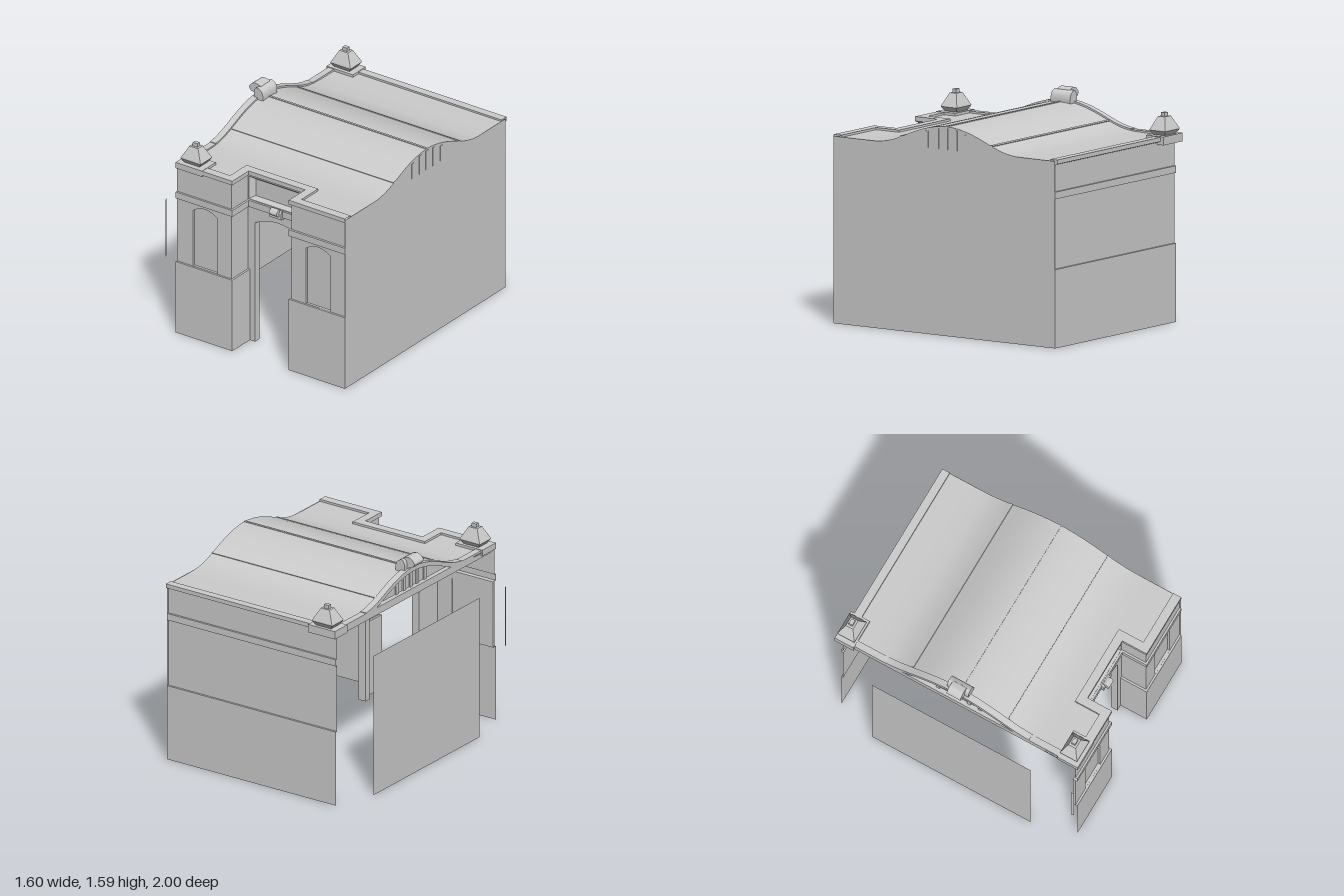
import * as THREE from 'three';

const mat = new THREE.MeshStandardMaterial({ color: 0xcccccc, side: THREE.DoubleSide });

function add(parent, name, geo, x = 0, y = 0, z = 0) {
  const m = new THREE.Mesh(geo, mat);
  m.name = name;
  m.position.set(x, y, z);
  parent.add(m);
  return m;
}

const box = (p, name, x0, x1, y0, y1, z0, z1) =>
  add(p, name, new THREE.BoxGeometry(x1 - x0, y1 - y0, z1 - z0), (x0 + x1) / 2, (y0 + y1) / 2, (z0 + z1) / 2);

// Flat-shaded grid through rows of points
function loft(rows, smooth = false) {
  const pos = [], idx = [], n = rows[0].length;
  rows.forEach(r => r.forEach(p => pos.push(...p)));
  for (let i = 0; i < rows.length - 1; i++)
    for (let j = 0; j < n - 1; j++) {
      const a = i * n + j, b = a + n;
      idx.push(a, b, b + 1, a, b + 1, a + 1);
    }
  let g = new THREE.BufferGeometry();
  g.setAttribute('position', new THREE.Float32BufferAttribute(pos, 3));
  g.setIndex(idx);
  if (!smooth) g = g.toNonIndexed();
  g.computeVertexNormals();
  return g;
}

// Sweep an [offset, y] wall profile along an [x, z] plan path with square corners
function sweep(path, profile) {
  const normal = (a, b) => {
    const l = Math.hypot(b[0] - a[0], b[1] - a[1]);
    return [-(b[1] - a[1]) / l, (b[0] - a[0]) / l];
  };
  return loft(path.map((p, i) => {
    const ns = [];
    if (i > 0) ns.push(normal(path[i - 1], p));
    if (i < path.length - 1) ns.push(normal(p, path[i + 1]));
    const nx = ns.reduce((s, n) => s + n[0], 0), nz = ns.reduce((s, n) => s + n[1], 0);
    return profile.map(([o, y]) => [p[0] + nx * o, y, p[1] + nz * o]);
  }));
}

// Opening with a shallow arched head
function arched(P, x0, x1, y0, spring, crown) {
  const s = new P();
  s.moveTo(x0, y0);
  s.lineTo(x1, y0);
  s.lineTo(x1, spring);
  s.quadraticCurveTo((x0 + x1) / 2, 2 * crown - spring, x0, spring);
  s.closePath();
  return s;
}

function rect(x0, x1, y0, y1) {
  return new THREE.Shape([[x0, y0], [x1, y0], [x1, y1], [x0, y1]].map(p => new THREE.Vector2(...p)));
}

const extrude = (shape, depth) => new THREE.ExtrudeGeometry(shape, { depth, bevelEnabled: false, curveSegments: 12 });

// Vaulted roof section, as height over z
const half = [[0, 1.488], [0.1, 1.479], [0.2, 1.456], [0.3, 1.421], [0.39, 1.384], [0.48, 1.352], [0.58, 1.332], [0.72, 1.326]];
const curve = new THREE.SplineCurve([...half.slice(1).reverse().map(([z, y]) => new THREE.Vector2(-z, y)),
  ...half.map(p => new THREE.Vector2(...p))]);
const vault = curve.getPoints(56);

const L = -0.665, R = 0.803, FRONT = 0.962, BACK = -0.925, RECESS = 0.765, IN0 = -0.19, IN1 = 0.33;

function buildWalls(g) {
  add(g, 'rightWall', loft([[[R, 0, 0.975], [R, 1.33, 0.975]], [[R, 0, -0.94], [R, 1.33, -0.94]]]));
  add(g, 'leftWall', loft([[[-0.755, 0, -0.63], [-0.755, 1.06, -0.63]], [[-0.755, 0, 0.65], [-0.755, 1.06, 0.65]]]));
  add(g, 'leftNichePanel', loft([[[-0.748, 0.58, 0.975], [-0.748, 1.03, 0.975]], [[-0.742, 0.58, 0.995], [-0.742, 1.03, 0.995]]]));
  add(g, 'backWall', sweep([[R, BACK], [L + 0.015, BACK]],
    [[0.015, 0], [0.015, 0.56], [0, 0.56], [0, 1.06], [0.015, 1.06], [0.015, 1.11], [0, 1.11],
      [0, 1.3], [0.03, 1.31], [0.03, 1.34], [-0.03, 1.34], [-0.03, 1.32]]));

  // Front pavilions with arched niches, either side of the recess
  const left = [[L, FRONT], [IN0, FRONT], [IN0, RECESS]];
  const right = [[IN1, RECESS], [IN1, FRONT], [R, FRONT]];
  for (const [path, x0, x1, inner] of [[left, L, IN0, IN0], [right, IN1, R, IN1]]) {
    const c = x0 === L ? -0.42 : 0.56;
    add(g, 'pavilionBase', sweep(path, [[0.015, 0], [0.015, 0.56], [-0.02, 0.56]]));
    add(g, 'pavilionUpperWall', sweep(path, [[0, 1.11], [0, 1.31]]));
    const face = rect(x0, x1, 0.56, 1.06);
    face.holes.push(arched(THREE.Path, c - 0.105, c + 0.105, 0.562, 1.0, 1.037));
    add(g, 'pavilionFace', extrude(face, 0.02), 0, 0, FRONT - 0.02);
    add(g, 'nichePanel', new THREE.ShapeGeometry(arched(THREE.Shape, c - 0.105, c + 0.105, 0.562, 1.0, 1.037)), 0, 0, FRONT - 0.019);
    add(g, 'pavilionReturn', loft([[[inner, 0.56, RECESS], [inner, 1.06, RECESS]], [[inner, 0.56, FRONT], [inner, 1.06, FRONT]]]));
  }

  // String course and cornice follow the recess
  const all = [...left, ...right];
  add(g, 'stringCourse', sweep(all, [[0, 1.06], [0.015, 1.06], [0.015, 1.11], [0, 1.11]]));
  add(g, 'frontCornice', sweep(all, [[0, 1.3], [0.015, 1.31], [0.015, 1.342], [-0.05, 1.342], [-0.05, 1.32]]));

  // Doorway surround
  const s = new THREE.Shape([[IN0, 0], [-0.13, 0], [-0.13, 0.94]].map(p => new THREE.Vector2(...p)));
  s.quadraticCurveTo(0.07, 1.05, 0.27, 0.94);
  [[0.27, 0], [IN1, 0], [IN1, 1.06], [IN0, 1.06]].forEach(p => s.lineTo(...p));
  add(g, 'doorSurround', extrude(s, 0.05), 0, 0, RECESS - 0.05);

  // Sunken panel above the door
  const ring = (x0, x1, y0, y1, z) => [[x0, y0, z], [x1, y0, z], [x1, y1, z], [x0, y1, z], [x0, y0, z]];
  add(g, 'doorPanelFrame', loft([ring(IN0, IN1, 1.11, 1.31, RECESS), ring(-0.185, 0.325, 1.115, 1.292, RECESS),
    ring(-0.16, 0.305, 1.125, 1.257, RECESS - 0.05)].reverse()));
  add(g, 'doorPanel', new THREE.ShapeGeometry(rect(-0.16, 0.305, 1.125, 1.257)), 0, 0, RECESS - 0.05);
}

// Scroll keystone, facing +z
function keystone(name, w, h, d) {
  const k = new THREE.Group();
  k.name = name;
  const part = (pw, pts) => {
    const s = new THREE.Shape();
    s.moveTo(pts[0][0] * d, pts[0][1] * h);
    s.splineThru(pts.slice(1).map(([a, b]) => new THREE.Vector2(a * d, b * h)));
    s.closePath();
    const m = add(k, 'scroll', extrude(s, pw), pw / 2, 0, 0);
    m.rotation.y = -Math.PI / 2;
  };
  part(w, [[0, 0], [0, 0.45], [0.12, 0.75], [0.4, 0.88], [0.55, 0.6], [0.55, 0.05]]);
  part(w * 0.65, [[0.4, 0.2], [0.3, 0.85], [0.55, 1], [0.78, 0.97], [1, 0.7], [0.9, 0.45], [0.75, 0.4]]);
  return k;
}

function buildRoof(g) {
  const strip = (name, x0, x1, pts, smooth) =>
    add(g, name, loft(pts.map(([z, y]) => [[x0, y, z], [x1, y, z]]), smooth));
  strip('vaultRoof', -0.615, R, vault.map(p => [p.x, p.y]), true);
  strip('backFlatRoof', -0.615, R, [[BACK, 1.326], [-0.72, 1.326]]);
  strip('leftFlatRoof', L, IN0, [[0.72, 1.326], [FRONT, 1.326]]);
  strip('rightFlatRoof', IN1, R, [[0.72, 1.326], [FRONT, 1.326]]);
  strip('middleFlatRoof', IN0, IN1, [[0.72, 1.326], [RECESS, 1.326]]);
  for (const [z, y, tilt] of [[-0.39, 1.385, -0.38], [0, 1.488, 0], [0.39, 1.385, 0.38]]) {
    const m = box(g, 'roofSeam', -0.6, R, y - 0.005, y + 0.005, z - 0.008, z + 0.008);
    m.rotation.x = tilt;
  }

  // Gable infill with ribs at both ends
  const gable = new THREE.Shape(vault);
  for (const [x, side] of [[-0.62, -1], [R, 1]]) {
    add(g, 'gable', new THREE.ShapeGeometry(gable), x, 0, 0).rotation.y = -Math.PI / 2;
    for (const z of [-0.17, -0.08, 0, 0.08, 0.17]) {
      const top = 1.475 - 1.1 * z * z;
      box(g, 'gableRib', x - (side < 0 ? 0.012 : 0), x + (side > 0 ? 0.004 : 0), 1.325, top, z - 0.014, z + 0.014);
    }
  }

  // Left parapet beam and arched coping
  box(g, 'parapetBeam', -0.655, -0.605, 1.285, 1.34, -0.93, 0.93);
  const arc = vault.filter(p => Math.abs(p.x) < 0.6);
  const coping = new THREE.Shape([...arc.map(p => new THREE.Vector2(p.x, p.y + 0.013)),
    ...arc.slice().reverse().map(p => new THREE.Vector2(p.x, p.y - 0.02))]);
  add(g, 'archedCoping', extrude(coping, 0.05), -0.605, 0, 0).rotation.y = -Math.PI / 2;
}

// Corner pedestal with a tapered finial
function finial(x, z, slabZ0, slabZ1, slabY0) {
  const f = new THREE.Group();
  f.name = 'cornerFinial';
  box(f, 'slab', x - 0.115, x + 0.115, slabY0, 1.345, slabZ0, slabZ1);
  const ring = (a, b, y) => [[-a, y, -b], [-a, y, b], [a, y, b], [a, y, -b], [-a, y, -b]].map(p => [p[0] + x, p[1], p[2] + z]);
  add(f, 'taperedCap', loft([ring(0.065, 0.05, 1.345), ring(0.088, 0.069, 1.378), ring(0.082, 0.065, 1.39),
    ring(0.037, 0.029, 1.473), ring(0, 0, 1.473)].map(r => r.reverse())));
  box(f, 'knob', x - 0.02, x + 0.02, 1.47, 1.5, z - 0.015, z + 0.015);
  return f;
}

export function createModel() {
  const model = new THREE.Group();
  model.name = 'gatehouse';
  const plan = new THREE.Group();
  plan.name = 'building';
  plan.rotation.y = -0.026;
  model.add(plan);

  buildWalls(plan);
  buildRoof(plan);
  plan.add(finial(-0.55, 0.89, 0.815, 0.98, 1.3), finial(-0.555, -0.908, -0.982, -0.83, 1.285));

  const doorKey = keystone('doorKeystone', 0.1, 0.08, 0.07);
  doorKey.position.set(0.07, 1.045, 0.76);
  const roofKey = keystone('gableKeystone', 0.17, 0.12, 0.14);
  roofKey.position.set(-0.56, 1.465, -0.005);
  roofKey.rotation.y = -Math.PI / 2;
  plan.add(doorKey, roofKey);
  return model;
}
